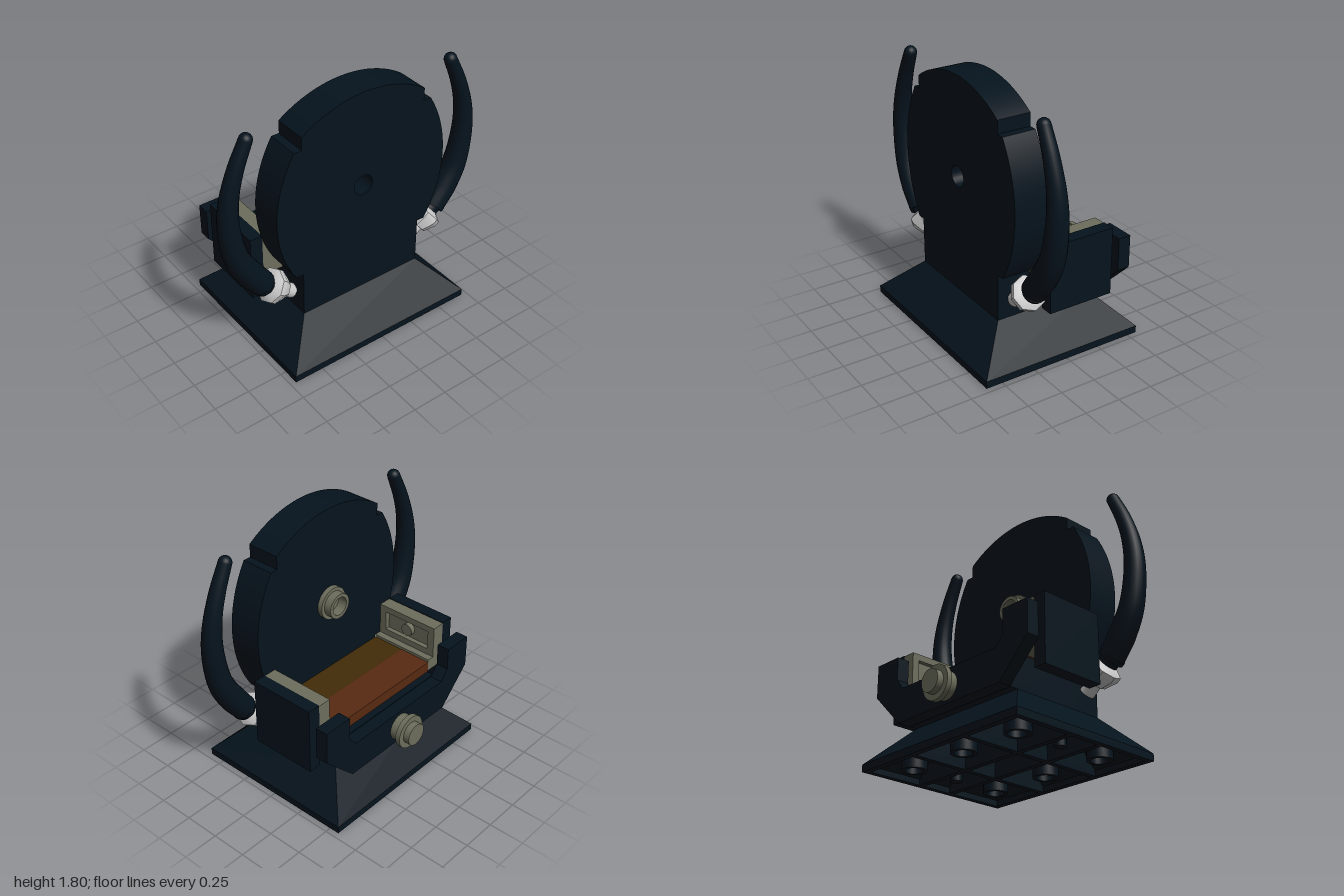
import * as THREE from 'three';
import { toCreasedNormals } from 'three/addons/utils/BufferGeometryUtils.js';

const mat = (color) => new THREE.MeshStandardMaterial({ color });
const DARK = mat(0x05131d), GREY = mat(0x6d6e5c), SILVER = mat(0xcccccc);
const RUST = mat(0x582a12), BROWN = mat(0x422b08);

function add(parent, name, geo, material) {
  const mesh = new THREE.Mesh(geo, material);
  mesh.name = name;
  parent.add(mesh);
  return mesh;
}

// Box given by its minimum and maximum corners
function box(parent, name, material, [x0, y0, z0], [x1, y1, z1]) {
  const geo = new THREE.BoxGeometry(x1 - x0, y1 - y0, z1 - z0);
  geo.translate((x0 + x1) / 2, (y0 + y1) / 2, (z0 + z1) / 2);
  return add(parent, name, geo, material);
}

const polygon = (pts) => new THREE.Shape(pts.map(([u, v]) => new THREE.Vector2(u, v)));

// Extrude a z-y outline along x
function extrudeX(shape, x0, x1) {
  const geo = new THREE.ExtrudeGeometry(shape, { depth: x1 - x0, bevelEnabled: false, curveSegments: 32 });
  geo.rotateY(Math.PI / 2).translate(x0, 0, 0);
  return toCreasedNormals(geo, 0.5);
}

function lathe(profile, segments = 32) {
  return toCreasedNormals(new THREE.LatheGeometry(profile.map(([r, y]) => new THREE.Vector2(r, y)), segments), 0.6);
}

// Rectangular rings [halfX, halfZ, y] joined in sequence, capped at both ends
function rectLoft(rings) {
  const pos = [];
  const corners = rings.map(([hx, hz, y]) => [[-hx, y, hz], [hx, y, hz], [hx, y, -hz], [-hx, y, -hz]]);
  const quad = (a, b, c, d) => pos.push(...a, ...b, ...c, ...a, ...c, ...d);
  for (let r = 0; r < corners.length - 1; r++) {
    for (let i = 0; i < 4; i++) {
      const j = (i + 1) % 4;
      quad(corners[r][i], corners[r][j], corners[r + 1][j], corners[r + 1][i]);
    }
  }
  quad(...[...corners[0]].reverse());
  quad(...corners[corners.length - 1]);
  const geo = new THREE.BufferGeometry();
  geo.setAttribute('position', new THREE.Float32BufferAttribute(pos, 3));
  geo.computeVertexNormals();
  return geo;
}

// Tube whose radius follows a list of evenly spaced radii
function taperedTube(points, radii) {
  const curve = new THREE.CatmullRomCurve3(points);
  const n = 40, sides = 20;
  const geo = new THREE.TubeGeometry(curve, n, 1, sides, false);
  const pos = geo.attributes.position, v = new THREE.Vector3();
  for (let i = 0; i <= n; i++) {
    const c = curve.getPointAt(i / n);
    const t = (i / n) * (radii.length - 1), k = Math.min(Math.floor(t), radii.length - 2);
    const r = THREE.MathUtils.lerp(radii[k], radii[k + 1], t - k);
    for (let s = 0; s <= sides; s++) {
      const id = i * (sides + 1) + s;
      v.fromBufferAttribute(pos, id).sub(c).multiplyScalar(r).add(c);
      pos.setXYZ(id, v.x, v.y, v.z);
    }
  }
  return geo;
}

function makeBase() {
  const base = new THREE.Group();
  base.name = 'base';
  base.position.x = 0.0225;
  // Hollow sloped plinth
  add(base, 'plinth', rectLoft([
    [0.39, 0.51, 0.2], [0.55, 0.67, 0.04], [0.55, 0.67, 0], [0.5925, 0.71, 0], [0.5925, 0.71, 0.05], [0.3525, 0.47, 0.29],
  ]), DARK);
  // Underside ribs
  const rib = (half) => new THREE.ExtrudeGeometry(
    polygon([[-half, 0], [half, 0], [half, 0.04], [half - 0.16, 0.2], [0.16 - half, 0.2]]),
    { depth: 0.04, bevelEnabled: false }).translate(0, 0, -0.02);
  for (const s of [-1, 1]) {
    add(base, 'lengthRib', rib(0.55), DARK).position.z = s * 0.237;
    const cross = add(base, 'crossRib', rib(0.67).rotateY(Math.PI / 2), DARK);
    cross.position.x = s * 0.13;
    add(base, 'underPin', new THREE.CylinderGeometry(0.04, 0.04, 0.18, 16), DARK).position.set(0, 0.1, s * 0.474);
    // Underside tubes
    for (const z of [-0.474, 0, 0.474]) {
      const tube = lathe([[0.06, 0.2], [0.06, 0.005], [0.085, 0.005], [0.085, 0.18]], 24);
      add(base, 'underTube', tube, DARK).position.set(s * 0.355, 0, z);
    }
  }
  return base;
}

function makeBackrest() {
  const s = new THREE.Shape();
  const sweep = 0.554, top = 0.972;
  s.moveTo(-0.47, 0.29);
  s.lineTo(0.47, 0.29);
  s.lineTo(0.47, 0.62);
  s.absarc(-0.243, 1.095, 0.903, -sweep, sweep, false);
  s.lineTo(0.47, 1.57);
  s.lineTo(0.47, 1.66);
  s.absarc(0, 0.971, 0.834, top, Math.PI - top, false);
  s.lineTo(-0.47, 1.57);
  s.absarc(0.243, 1.095, 0.903, Math.PI - sweep, Math.PI + sweep, false);
  s.lineTo(-0.47, 0.62);
  s.closePath();
  const hole = new THREE.Path();
  hole.absarc(0, 1.12, 0.072, 0, Math.PI * 2, true);
  s.holes.push(hole);
  return extrudeX(s, 0.14, 0.375);
}

// Armrest on the +z side, centred on x
function makeArm() {
  const arm = new THREE.Group();
  arm.name = 'armrest';
  const h = 0.2375;
  box(arm, 'armOuterPanel', DARK, [-h, 0.38, 0.62], [h, 0.855, 0.71]);
  box(arm, 'armInnerPanel', GREY, [-h, 0.53, 0.56], [h, 0.85, 0.62]);
  box(arm, 'armLedge', GREY, [-h, 0.53, 0.475], [h, 0.62, 0.56]);
  const frame = polygon([[-h, 0.62], [h, 0.62], [h, 0.85], [-h, 0.85]]);
  frame.holes.push(polygon([[-0.185, 0.665], [-0.185, 0.805], [0.185, 0.805], [0.185, 0.665]]));
  const rim = new THREE.ExtrudeGeometry(frame, { depth: 0.035, bevelEnabled: false });
  add(arm, 'armFrame', rim, GREY).position.z = 0.525;
  const knob = new THREE.CylinderGeometry(0.045, 0.045, 0.04, 20).rotateX(Math.PI / 2);
  add(arm, 'armKnob', knob, GREY).position.set(0, 0.735, 0.545);
  return arm;
}

// Curved horn with its angled peg, on the +z side
function makeHorn() {
  const horn = new THREE.Group();
  horn.name = 'horn';
  const path = [[0.59, 0.705], [0.72, 0.8], [0.88, 0.885], [1.14, 0.93], [1.34, 0.915], [1.53, 0.86], [1.71, 0.78]]
    .map(([y, z]) => new THREE.Vector3(0, y, z));
  add(horn, 'hornShaft', taperedTube(path, [0.085, 0.09, 0.084, 0.077, 0.071, 0.064, 0.056, 0.05, 0.044]), DARK);
  add(horn, 'hornTip', new THREE.SphereGeometry(0.044, 20, 14), DARK).position.copy(path[6]);
  // Peg axis runs from the backrest up to the horn end
  const peg = new THREE.Group();
  peg.name = 'hornPeg';
  peg.position.set(0, 0.43, 0.505);
  peg.rotation.x = 0.9;
  add(peg, 'pegBar', lathe([[0, -0.02], [0.05, -0.02], [0.05, 0.1]], 16), SILVER);
  add(peg, 'pegFlange', lathe([[0.05, 0.07], [0.075, 0.07], [0.118, 0.15], [0.118, 0.185], [0.07, 0.215], [0, 0.215]], 8), SILVER);
  add(peg, 'hornSocket', lathe([[0, 0.2], [0.065, 0.2], [0.065, 0.25], [0.085, 0.25], [0.085, 0.28], [0, 0.28]], 20), DARK);
  horn.add(peg);
  return horn;
}

export function createModel() {
  const model = new THREE.Group();
  model.name = 'throne';
  model.add(makeBase());
  add(model, 'backrest', makeBackrest(), DARK);

  // Seat block and two-tone cushion
  box(model, 'seatBlock', DARK, [-0.385, 0.29, -0.47], [0.14, 0.525, 0.47]);
  box(model, 'frontCushion', RUST, [-0.335, 0.525, -0.475], [-0.0975, 0.6, 0.475]);
  box(model, 'rearCushion', BROWN, [-0.0975, 0.525, -0.475], [0.14, 0.6, 0.475]);

  // Front plate with raised ends and chamfered lower corners
  add(model, 'frontPlate', extrudeX(polygon([
    [-0.47, 0.29], [0.47, 0.29], [0.71, 0.53], [0.71, 0.76], [0.5, 0.76], [0.5, 0.6], [0.44, 0.525],
    [-0.44, 0.525], [-0.5, 0.6], [-0.5, 0.76], [-0.71, 0.76], [-0.71, 0.53],
  ]), -0.48, -0.39), DARK);

  // Round studs facing forward
  const backStud = lathe([[0, 0], [0.115, 0], [0.115, 0.035], [0.09, 0.035], [0.09, 0.09], [0.065, 0.09], [0.065, 0.02], [0, 0.02]]);
  const stud = add(model, 'backrestStud', backStud, GREY);
  stud.position.set(0.14, 1.12, 0);
  stud.rotation.z = Math.PI / 2;
  const frontKnob = lathe([[0, 0], [0.095, 0], [0.095, 0.06], [0.118, 0.06], [0.118, 0.095], [0.078, 0.095], [0.078, 0.14], [0, 0.14]]);
  const knob = add(model, 'frontKnob', frontKnob, GREY);
  knob.position.set(-0.48, 0.405, 0);
  knob.rotation.z = Math.PI / 2;

  // Paired armrests and horns
  for (const turn of [0, Math.PI]) {
    const arm = makeArm(), horn = makeHorn();
    arm.position.x = -0.0975;
    horn.position.x = 0.26;
    arm.rotation.y = horn.rotation.y = turn;
    model.add(arm, horn);
  }
  return model;
}
